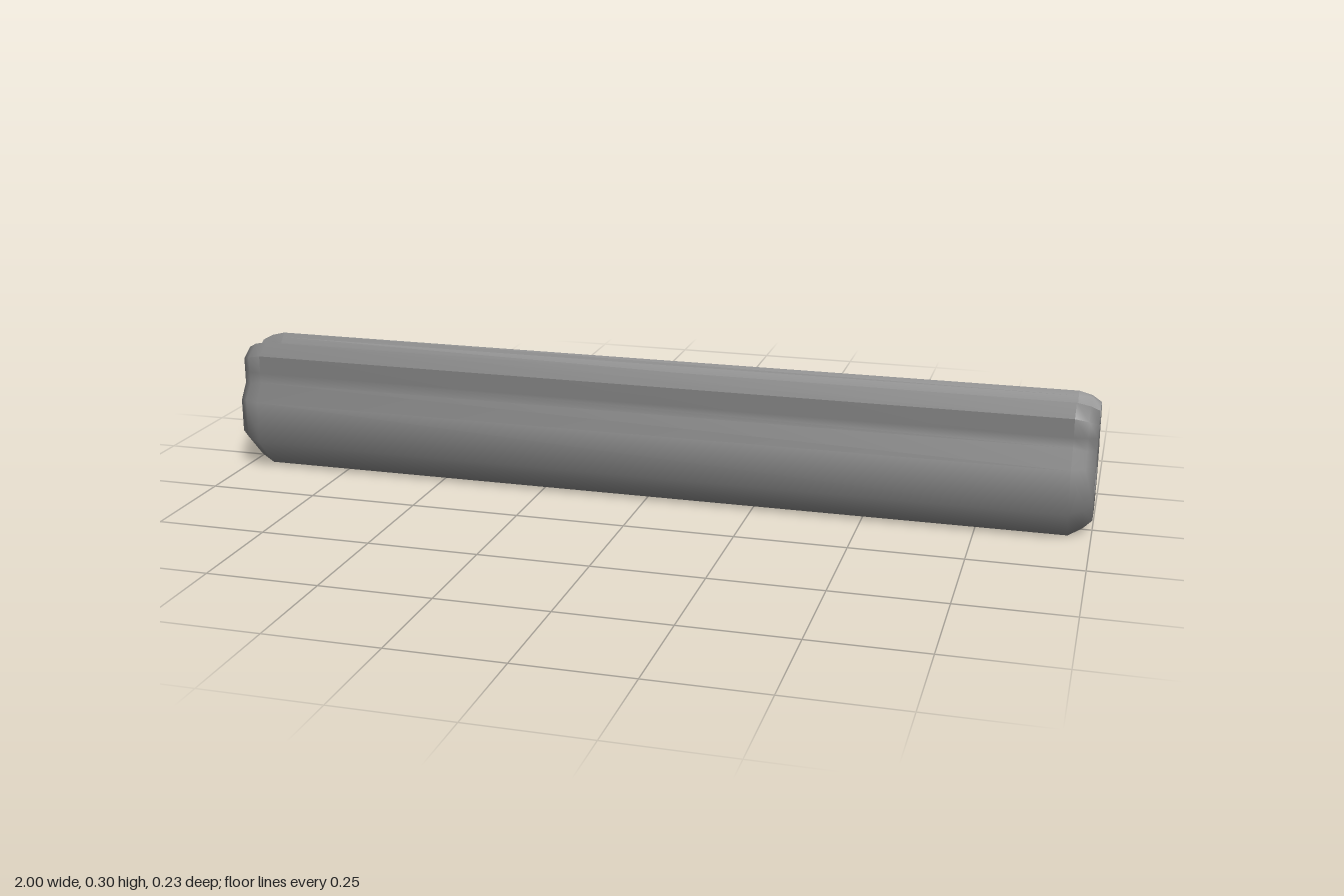
import * as THREE from 'three';
import { toCreasedNormals } from 'three/addons/utils/BufferGeometryUtils.js';

// Half sections of the clip as [z, y], from the base up to the lip.
// The outside is drawn in twice towards each end: body, shoulder, end face.
const BODY = [
  [0.048, 0], [0.115, 0.07], [0.115, 0.17], [0.088, 0.212], [0.088, 0.235], [0.088, 0.277], [0.048, 0.302],
];
const SHOULDER = [
  [0.045, 0.018], [0.109, 0.081], [0.109, 0.172], [0.083, 0.206], [0.083, 0.235], [0.083, 0.271], [0.044, 0.295],
];
const END = [
  [0.039, 0.036], [0.094, 0.091], [0.094, 0.167], [0.068, 0.204], [0.068, 0.232], [0.068, 0.263], [0.035, 0.284],
];

// Bore and slot, shared by all sections; the lip's inner corner varies
const BORE = [
  [0.022, 0.085], [0.051, 0.117], [0.051, 0.154], [0.02, 0.203], [0.0125, 0.225], [0.0205, 0.268],
];
const BORE_SHIFT = 0.002; // the bore sits slightly off centre

// Rings along the bar: x, outer section, inner corner of the lip
const RINGS = [
  [-1, END, [0.03, 0.28]],
  [-0.98, SHOULDER, [0.041, 0.292]],
  [-0.95, BODY, [0.041, 0.293]],
  [0.95, BODY, [0.041, 0.293]],
  [0.98, SHOULDER, [0.041, 0.292]],
  [1, END, [0.03, 0.28]],
];

// Front lip, down under the base, up to the back lip
const mirrored = (half) => [...half].reverse().concat(half.map(([z, y]) => [-z, y]));

function createClipGeometry() {
  const n = BODY.length * 2;
  const count = n * 2;
  const positions = [];
  const indices = [];
  const quad = (a, b, c, d) => indices.push(a, b, c, a, c, d);

  for (const [x, outer, lip] of RINGS) {
    for (const [z, y] of mirrored(outer)) positions.push(x, y, z);
    for (const [z, y] of mirrored([...BORE, lip]).reverse()) positions.push(x, y, z + BORE_SHIFT);
  }

  // Walls between neighbouring rings
  for (let r = 0; r < RINGS.length - 1; r++) {
    const a = r * count;
    const b = a + count;
    for (let j = 0; j < count; j++) {
      const k = (j + 1) % count;
      quad(a + j, a + k, b + k, b + j);
    }
  }

  // C-shaped end faces, spanning outer to inner edge
  const last = (RINGS.length - 1) * count;
  for (let s = 0; s < n - 1; s++) {
    const inner = count - 1 - s;
    quad(last + s, last + s + 1, last + inner - 1, last + inner);
    quad(s, inner, inner - 1, s + 1);
  }

  const geometry = new THREE.BufferGeometry();
  geometry.setAttribute('position', new THREE.Float32BufferAttribute(positions, 3));
  geometry.setIndex(indices);
  return toCreasedNormals(geometry, 1.0);
}

export function createModel() {
  const group = new THREE.Group();
  group.name = 'longClip';
  const clip = new THREE.Mesh(
    createClipGeometry(),
    new THREE.MeshStandardMaterial({ color: 0x808080 })
  );
  clip.name = 'clipBody';
  group.add(clip);
  return group;
}
